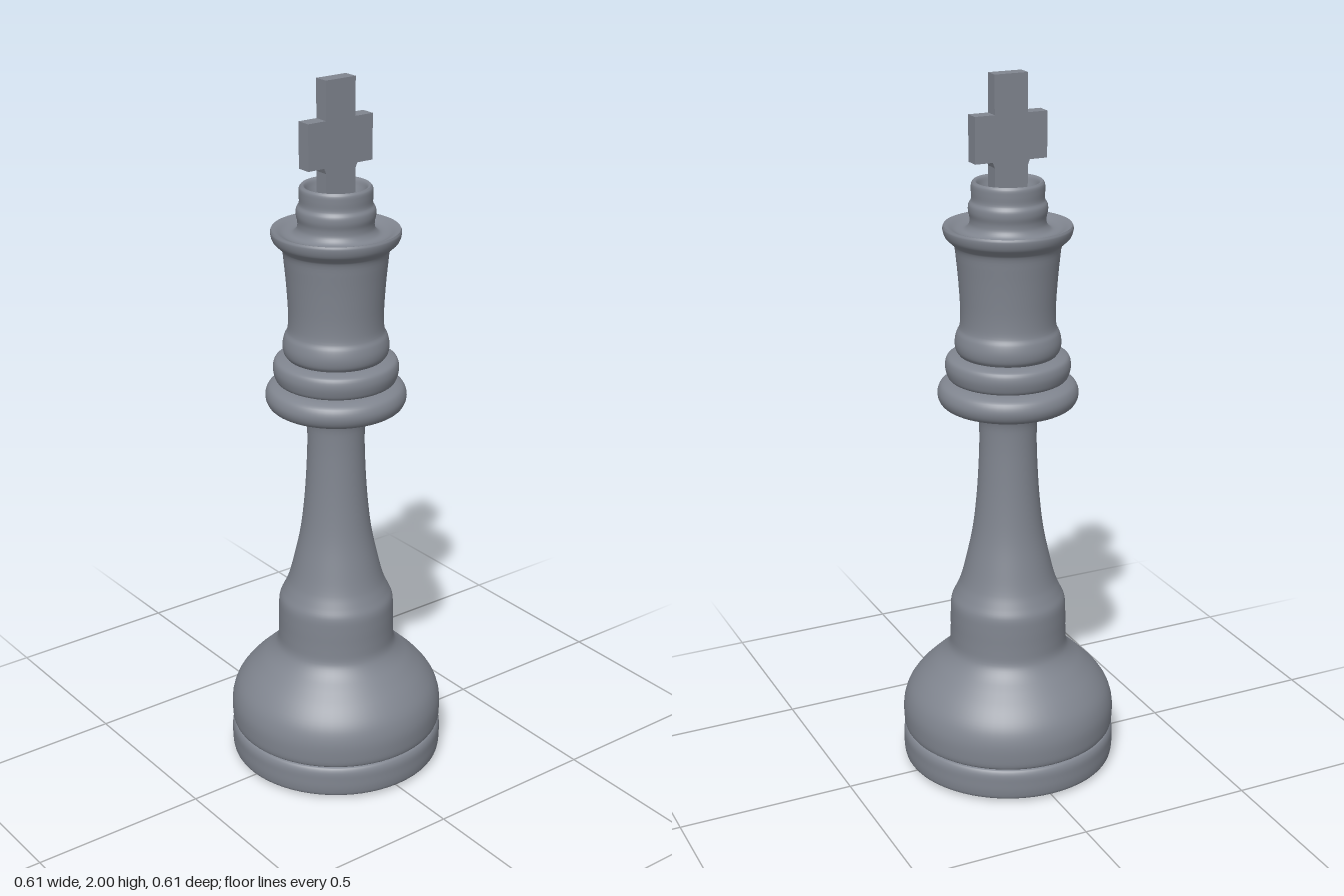
import * as THREE from 'three';

const stone = new THREE.MeshStandardMaterial({ color: 0x80858f });
stone.name = 'slate grey';

// Smoothly turned part from [radius, height] points, listed from bottom to top
function turned(name, points, steps = 4) {
  const curve = new THREE.CatmullRomCurve3(
    points.map(([r, y]) => new THREE.Vector3(r, y, 0)), false, 'centripetal');
  const profile = curve.getPoints((points.length - 1) * steps)
    .map((p) => new THREE.Vector2(Math.max(p.x, 0), p.y));
  const mesh = new THREE.Mesh(new THREE.LatheGeometry(profile, 64), stone);
  mesh.name = name;
  return mesh;
}

export function createModel() {
  const king = new THREE.Group();
  king.name = 'chessKing';

  // Underside and foot band
  king.add(turned('underside', [[0, 0], [0.17, 0], [0.285, 0.007]], 1));
  king.add(turned('footBand', [
    [0.285, 0.007], [0.3, 0.012], [0.305, 0.03], [0.306, 0.06],
    [0.305, 0.085], [0.299, 0.098], [0.293, 0.101],
  ]));

  // Bell-shaped base, shoulder and slender stem
  king.add(turned('baseAndStem', [
    [0.293, 0.101], [0.301, 0.108], [0.305, 0.14], [0.303, 0.18], [0.29, 0.22],
    [0.262, 0.26], [0.222, 0.3], [0.187, 0.333], [0.17, 0.36], [0.166, 0.4],
    [0.165, 0.46], [0.162, 0.5], [0.15, 0.527], [0.136, 0.56], [0.118, 0.63],
    [0.101, 0.71], [0.09, 0.8], [0.083, 0.9], [0.08, 1.0], [0.083, 1.05],
    [0.094, 1.072], [0.12, 1.083],
  ]));

  // Stacked collar rings
  king.add(turned('lowerCollar', [
    [0.12, 1.083], [0.165, 1.086], [0.186, 1.097], [0.195, 1.122],
    [0.187, 1.147], [0.168, 1.158], [0.145, 1.162],
  ]));
  king.add(turned('upperCollar', [
    [0.145, 1.162], [0.163, 1.168], [0.17, 1.183], [0.173, 1.205],
    [0.167, 1.225], [0.15, 1.233], [0.135, 1.236],
  ]));

  // Flared head
  king.add(turned('head', [
    [0.135, 1.236], [0.143, 1.248], [0.146, 1.27], [0.141, 1.295], [0.133, 1.312],
    [0.13, 1.35], [0.133, 1.42], [0.14, 1.5], [0.146, 1.54], [0.157, 1.552],
    [0.17, 1.565], [0.176, 1.588], [0.173, 1.596],
  ]));

  // Dished head top and crown rings
  king.add(turned('crown', [
    [0.173, 1.596], [0.16, 1.592], [0.14, 1.583], [0.118, 1.583], [0.105, 1.597],
    [0.103, 1.615], [0.107, 1.635], [0.106, 1.652], [0.099, 1.665],
    [0.099, 1.69], [0.098, 1.708], [0.093, 1.715],
  ]));
  king.add(turned('crownBowl', [
    [0.093, 1.715], [0.085, 1.712], [0.077, 1.695], [0.06, 1.667],
    [0.035, 1.653], [0, 1.648],
  ]));

  // Cross finial with small fillets below the arms
  const half = [[0.048, 1.64], [0.048, 1.755], [0.054, 1.77], [0.105, 1.77],
    [0.105, 1.895], [0.048, 1.895], [0.048, 2]];
  const outline = [...half, ...half.map(([x, y]) => [-x, y]).reverse()];
  const shape = new THREE.Shape(outline.map(([x, y]) => new THREE.Vector2(x, y)));
  const crossGeometry = new THREE.ExtrudeGeometry(shape, { depth: 0.042, bevelEnabled: false });
  crossGeometry.translate(0, 0, -0.021);
  const cross = new THREE.Mesh(crossGeometry, stone);
  cross.name = 'crossFinial';
  king.add(cross);

  return king;
}
